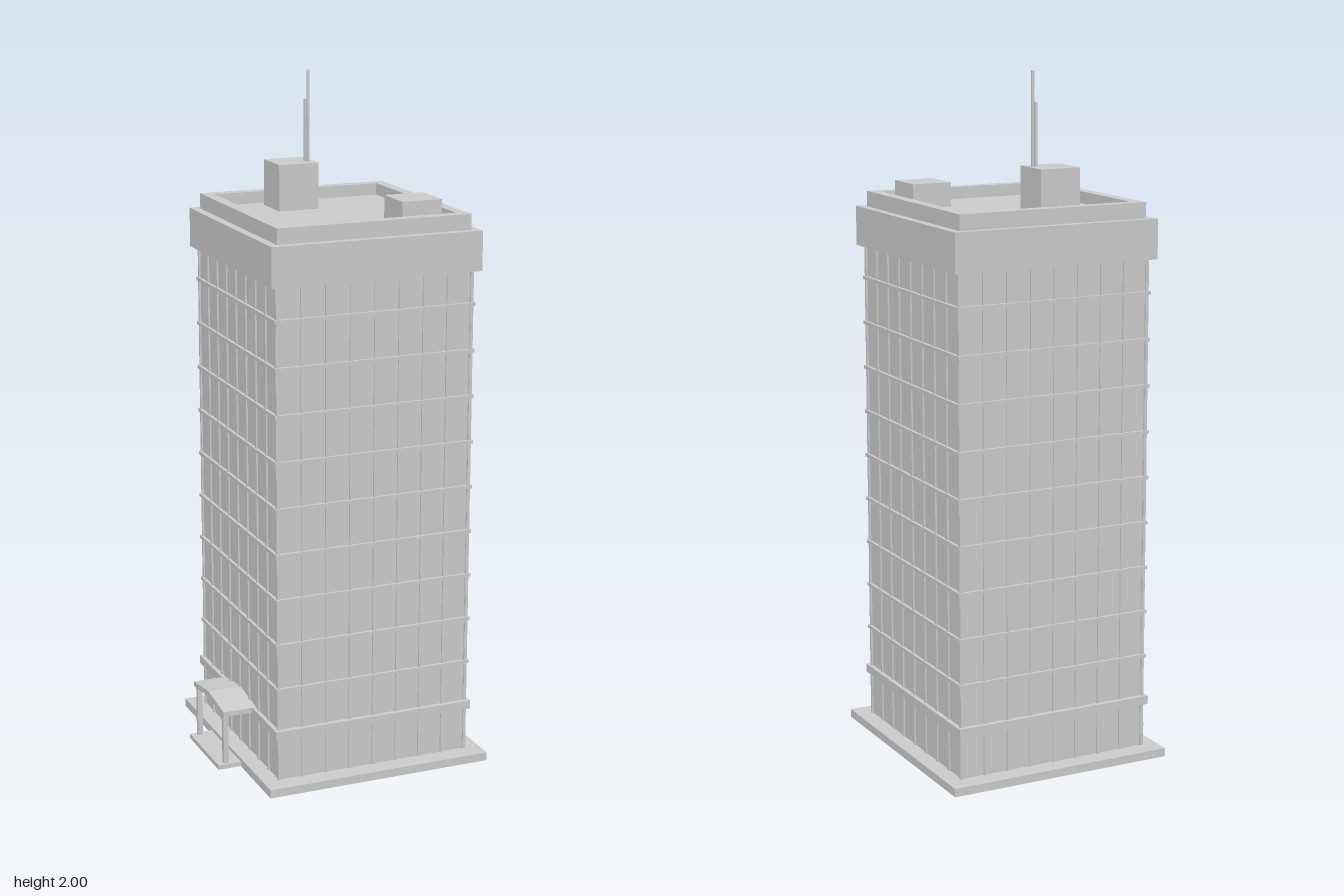
import * as THREE from 'three';

const CX = 0.034; // tower axis
const mat = new THREE.MeshStandardMaterial({ color: 0xcccccc, flatShading: true });

export function createModel() {
  const root = new THREE.Group();

  const add = (name, geometry, parent = root) => {
    const mesh = new THREE.Mesh(geometry, mat);
    mesh.name = name;
    parent.add(mesh);
    return mesh;
  };
  // Box given by its limits on each axis
  const box = (name, x0, x1, y0, y1, z0, z1, parent) => {
    const mesh = add(name, new THREE.BoxGeometry(x1 - x0, y1 - y0, z1 - z0), parent);
    mesh.position.set((x0 + x1) / 2, (y0 + y1) / 2, (z0 + z1) / 2);
    return mesh;
  };
  // Slab centred on the tower axis, given by half width and half depth
  const slab = (name, hx, hz, y0, y1, parent) =>
    box(name, CX - hx, CX + hx, y0, y1, -hz, hz, parent);
  const group = (name) => {
    const g = new THREE.Group();
    g.name = name;
    root.add(g);
    return g;
  };

  // Plinth, glass core and lower cornice
  slab('plinth', 0.344, 0.367, 0, 0.025);
  const hx = 0.295, hz = 0.309;
  slab('glassCore', hx, hz, 0.025, 1.48);
  slab('lowerCornice', 0.308, 0.325, 0.155, 0.18);

  // Thin ledge between storeys
  const ledges = group('floorLedges');
  for (let i = 1; i <= 9; i++) {
    const y = 0.168 + i * 0.1345;
    slab('floorLedge', hx + 0.009, hz + 0.009, y - 0.005, y + 0.005, ledges);
  }

  // Vertical mullions, eight bays on every face
  const mullions = group('mullions');
  const bays = 8, w = 0.004, d = 0.005;
  for (let i = 0; i <= bays; i++) {
    const t = (i / bays) * 2 - 1;
    const x = CX + t * hx, z = t * hz;
    for (const s of [-1, 1]) {
      const zf = s * hz, xf = CX + s * hx;
      box('mullion', x - w, x + w, 0.025, 1.48, zf - d, zf + d, mullions);
      box('mullion', xf - d, xf + d, 0.025, 1.48, z - w, z + w, mullions);
    }
  }

  // Crown and hollow parapet
  slab('crown', 0.317, 0.331, 1.475, 1.59);
  const rect = (shape, a, b) => {
    shape.moveTo(-a, -b);
    shape.lineTo(a, -b);
    shape.lineTo(a, b);
    shape.lineTo(-a, b);
    shape.closePath();
    return shape;
  };
  const ring = rect(new THREE.Shape(), 0.292, 0.307);
  ring.holes.push(rect(new THREE.Path(), 0.259, 0.273));
  const parapet = add('parapet', new THREE.ExtrudeGeometry(ring, { depth: 0.045, bevelEnabled: false }));
  parapet.rotation.x = -Math.PI / 2;
  parapet.position.set(CX, 1.59, 0);
  slab('roofDeck', 0.26, 0.274, 1.585, 1.6);

  // Roof housings and masts
  box('liftHousing', -0.083, 0.04, 1.59, 1.735, -0.238, -0.116);
  box('ventHousing', 0.145, 0.266, 1.59, 1.67, 0.116, 0.24);
  box('tallMast', 0.018, 0.025, 1.73, 2, -0.156, -0.149);
  box('shortMast', 0.014, 0.021, 1.73, 1.915, -0.167, -0.16);

  // Entrance: step, posts and shallow gabled canopy
  const entrance = group('entrance');
  box('entranceStep', -0.38, -0.3, 0, 0.014, -0.125, 0.126, entrance);
  for (const s of [-1, 1]) {
    const z = s * 0.112;
    box('canopyPost', -0.36, -0.345, 0.01, 0.175, z - 0.007, z + 0.007, entrance);
  }
  const gable = new THREE.Shape();
  gable.moveTo(-0.129, 0.165);
  gable.lineTo(0, 0.18);
  gable.lineTo(0.129, 0.165);
  gable.lineTo(0.129, 0.18);
  gable.lineTo(0, 0.197);
  gable.lineTo(-0.129, 0.18);
  gable.closePath();
  const canopy = add('canopy', new THREE.ExtrudeGeometry(gable, { depth: 0.105, bevelEnabled: false }), entrance);
  canopy.rotation.y = Math.PI / 2;
  canopy.position.x = -0.363;

  return root;
}
